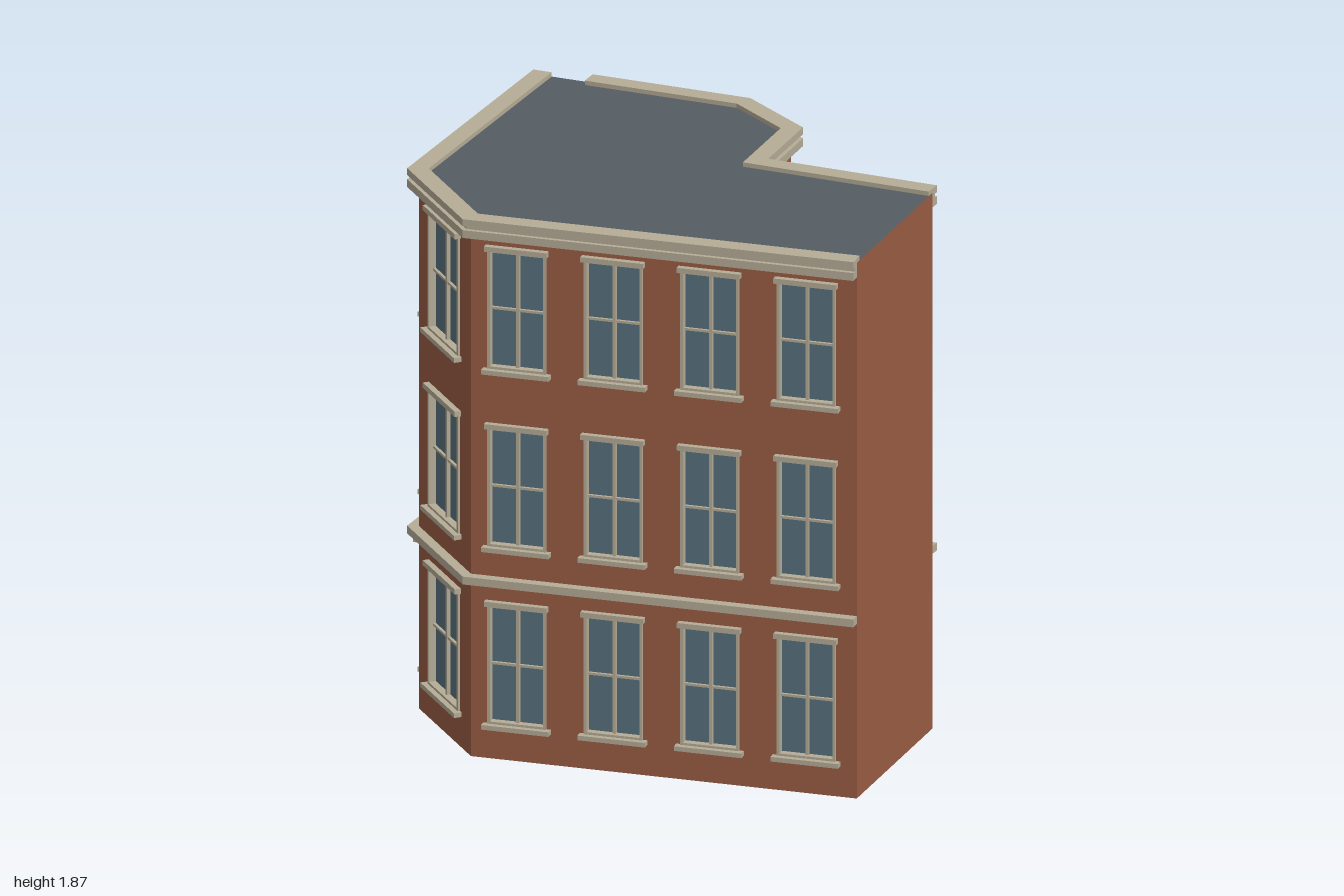
import * as THREE from 'three';

const mat = (color, side = THREE.FrontSide) => new THREE.MeshStandardMaterial({ color, side });
const brick = mat(0x9a5c44, THREE.DoubleSide);
const stone = mat(0xb5ac96);
const glass = mat(0x58707c, THREE.DoubleSide);
const slate = mat(0x555d63, THREE.DoubleSide);
const wood = mat(0x7a5530);

const WALL_TOP = 1.855, FLOOR = 0.615, SILL = 0.12, WIN_H = 0.415;

// Footprint corners (x, z), counterclockwise seen from above
const A = [-0.13, 0.985], B = [0.515, 0.715], C = [0.31, 0.115], D = [0.615, -0.01];
const E = [0.69, -0.295], F = [0.45, -0.96], G = [-0.49, -0.63], H = [-0.7, -0.2];
const F2 = [0.505, -0.81]; // where the right-hand mouldings stop

// Each wall: ends, window width, window positions along it
const walls = [
  { name: 'frontWall', a: A, b: B, w: 0, at: [] },
  { name: 'notchWall', a: B, b: C, w: 0.18, at: [0.25, 0.758] },
  { name: 'bayFrontWall', a: C, b: D, w: 0.19, at: [0.48] },
  { name: 'bayCornerWall', a: D, b: E, w: 0.165, at: [0.5] },
  { name: 'bayLeftWall', a: E, b: F, w: 0.15, at: [0.18, 0.564] },
  { name: 'entranceWall', a: F, b: G, w: 0.2, at: [0.165, 0.5, 0.835], door: 0.5 },
  { name: 'cornerWall', a: G, b: H, w: 0.28, at: [0.5] },
  { name: 'rightWall', a: H, b: A, w: 0.2, at: [0.12, 0.37, 0.62, 0.87] },
];

function add(parent, name, geometry, material, x = 0, y = 0, z = 0) {
  const mesh = new THREE.Mesh(geometry, material);
  mesh.name = name;
  mesh.position.set(x, y, z);
  parent.add(mesh);
  return mesh;
}
const box = (parent, name, w, h, d, x, y, z, m = stone) =>
  add(parent, name, new THREE.BoxGeometry(w, h, d), m, x, y, z);
const extrude = (shape, depth) =>
  new THREE.ExtrudeGeometry(shape, { depth, bevelEnabled: false, curveSegments: 16 });

// Rectangle outline centred on x, standing on y
function rect(Type, x, y, w, h) {
  return new Type().moveTo(x - w / 2, y).lineTo(x + w / 2, y)
    .lineTo(x + w / 2, y + h).lineTo(x - w / 2, y + h).closePath();
}
// Round-headed outline centred on x
function arch(Type, x, y, halfW, spring, rise) {
  return new Type().moveTo(x - halfW, y).lineTo(x + halfW, y).lineTo(x + halfW, spring)
    .absellipse(x, spring, halfW, rise, 0, Math.PI, false, 0).lineTo(x - halfW, y);
}

// Sash window with frame, glazing bars, sill and lintel; origin at bottom centre
function makeWindow(w) {
  const g = new THREE.Group();
  g.name = 'window';
  const ring = rect(THREE.Shape, 0, 0, w, WIN_H);
  ring.holes.push(rect(THREE.Path, 0, 0.01, w - 0.02, WIN_H - 0.02));
  add(g, 'windowFrame', extrude(ring, 0.03), stone, 0, 0, -0.022);
  add(g, 'windowPane', new THREE.PlaneGeometry(w, WIN_H), glass, 0, WIN_H / 2, -0.018);
  box(g, 'verticalBar', 0.01, WIN_H - 0.02, 0.014, 0, WIN_H / 2, -0.012);
  box(g, 'horizontalBar', w - 0.02, 0.008, 0.01, 0, WIN_H / 2, -0.013);
  box(g, 'sill', w + 0.03, 0.016, 0.03, 0, -0.006, 0.012);
  box(g, 'lintel', w + 0.014, 0.018, 0.025, 0, WIN_H + 0.004, 0.009);
  return g;
}

// Arched doorway with surround, double door, fanlight and step
function makeEntrance() {
  const g = new THREE.Group();
  g.name = 'entrance';
  const surround = arch(THREE.Shape, 0, 0.03, 0.185, 0.37, 0.18);
  surround.holes.push(arch(THREE.Path, 0, 0.03, 0.14, 0.37, 0.14));
  add(g, 'doorSurround', extrude(surround, 0.07), stone, 0, 0, -0.02);
  for (const s of [-1, 1]) {
    box(g, 'doorPilaster', 0.035, 0.37, 0.02, s * 0.163, 0.215, 0.055);
    box(g, 'pilasterCapital', 0.05, 0.025, 0.03, s * 0.163, 0.39, 0.055);
    const leaf = rect(THREE.Shape, s * 0.066, 0.03, 0.128, 0.32);
    leaf.holes.push(rect(THREE.Path, s * 0.066, 0.1, 0.09, 0.225));
    add(g, 'doorLeaf', extrude(leaf, 0.014), wood, 0, 0, -0.016);
    const trim = rect(THREE.Shape, s * 0.066, 0.1, 0.09, 0.225);
    trim.holes.push(rect(THREE.Path, s * 0.066, 0.108, 0.074, 0.209));
    add(g, 'doorGlassTrim', extrude(trim, 0.016), stone, 0, 0, -0.016);
    box(g, 'doorHandle', 0.008, 0.06, 0.01, s * 0.016, 0.2, 0.003);
    const bar = box(g, 'fanlightBar', 0.008, 0.13, 0.01, s * 0.04, 0.44, -0.01);
    bar.rotation.z = -s * 0.6;
  }
  box(g, 'transom', 0.28, 0.03, 0.03, 0, 0.365, -0.005, wood);
  add(g, 'doorGlass', new THREE.ShapeGeometry(arch(THREE.Shape, 0, 0.03, 0.142, 0.37, 0.142)), glass, 0, 0, -0.018);
  box(g, 'doorStep', 0.385, 0.035, 0.1, 0, 0.0175, 0.034);
  box(g, 'entranceFascia', 0.86, 0.055, 0.05, 0, 0.573, 0.025);
  return g;
}

// Wall panel with openings; local x runs along it, local z points outward
function makeWall({ name, a, b, w, at, door }) {
  const g = new THREE.Group();
  g.name = name;
  const dx = b[0] - a[0], dz = b[1] - a[1], len = Math.hypot(dx, dz);
  const panel = rect(THREE.Shape, len / 2, 0, len, WALL_TOP);
  for (const t of at) for (let floor = 0; floor < 3; floor++) {
    const x = t * len, y = SILL + floor * FLOOR;
    if (door === t && floor === 0) {
      panel.holes.push(arch(THREE.Path, x, 0.02, 0.14, 0.37, 0.14));
      const entrance = makeEntrance();
      entrance.position.x = x;
      g.add(entrance);
      continue;
    }
    panel.holes.push(rect(THREE.Path, x, y, w, WIN_H));
    const win = makeWindow(w);
    win.position.set(x, y, 0);
    g.add(win);
  }
  add(g, 'brickwork', new THREE.ShapeGeometry(panel), brick);
  g.position.set(a[0], 0, a[1]);
  g.rotation.y = Math.atan2(-dz, dx);
  return g;
}

// Polyline moved outward by d with mitred corners
function offset(points, d) {
  const normals = points.slice(1).map((p, i) => {
    const q = points[i];
    return new THREE.Vector2(q[1] - p[1], p[0] - q[0]).normalize();
  });
  return points.map((p, i) => {
    const n0 = normals[Math.max(i - 1, 0)], n1 = normals[Math.min(i, normals.length - 1)];
    const k = d / (1 + n0.dot(n1));
    return [p[0] + (n0.x + n1.x) * k, p[1] + (n0.y + n1.y) * k];
  });
}

// Horizontal moulding that follows a run of walls
function moulding(parent, name, points, inner, outer, y0, y1) {
  const loop = [...offset(points, outer), ...offset(points, inner).reverse()];
  const shape = new THREE.Shape(loop.map(([x, z]) => new THREE.Vector2(x, -z)));
  add(parent, name, extrude(shape, y1 - y0), stone, 0, y0, 0).rotation.x = -Math.PI / 2;
}

export function createModel() {
  const model = new THREE.Group();
  model.name = 'cornerBuilding';
  for (const wall of walls) model.add(makeWall(wall));

  // Flat roof
  const plan = new THREE.Shape([A, B, C, D, E, F, G, H].map(([x, z]) => new THREE.Vector2(x, -z)));
  add(model, 'roof', new THREE.ShapeGeometry(plan), slate, 0, WALL_TOP, 0).rotation.x = -Math.PI / 2;

  // Belt course and two-step cornice, broken at the front wall and the back corner
  for (const run of [[B, C, D, E, F2], [F, G, H, A]]) {
    moulding(model, 'beltCourse', run, -0.005, 0.035, 0.605, 0.632);
    moulding(model, 'corniceLower', run, -0.005, 0.035, 1.805, 1.832);
    moulding(model, 'corniceNeck', run, -0.005, 0.02, 1.832, 1.846);
    moulding(model, 'corniceTop', run, -0.03, 0.035, 1.846, 1.87);
  }
  return model;
}
